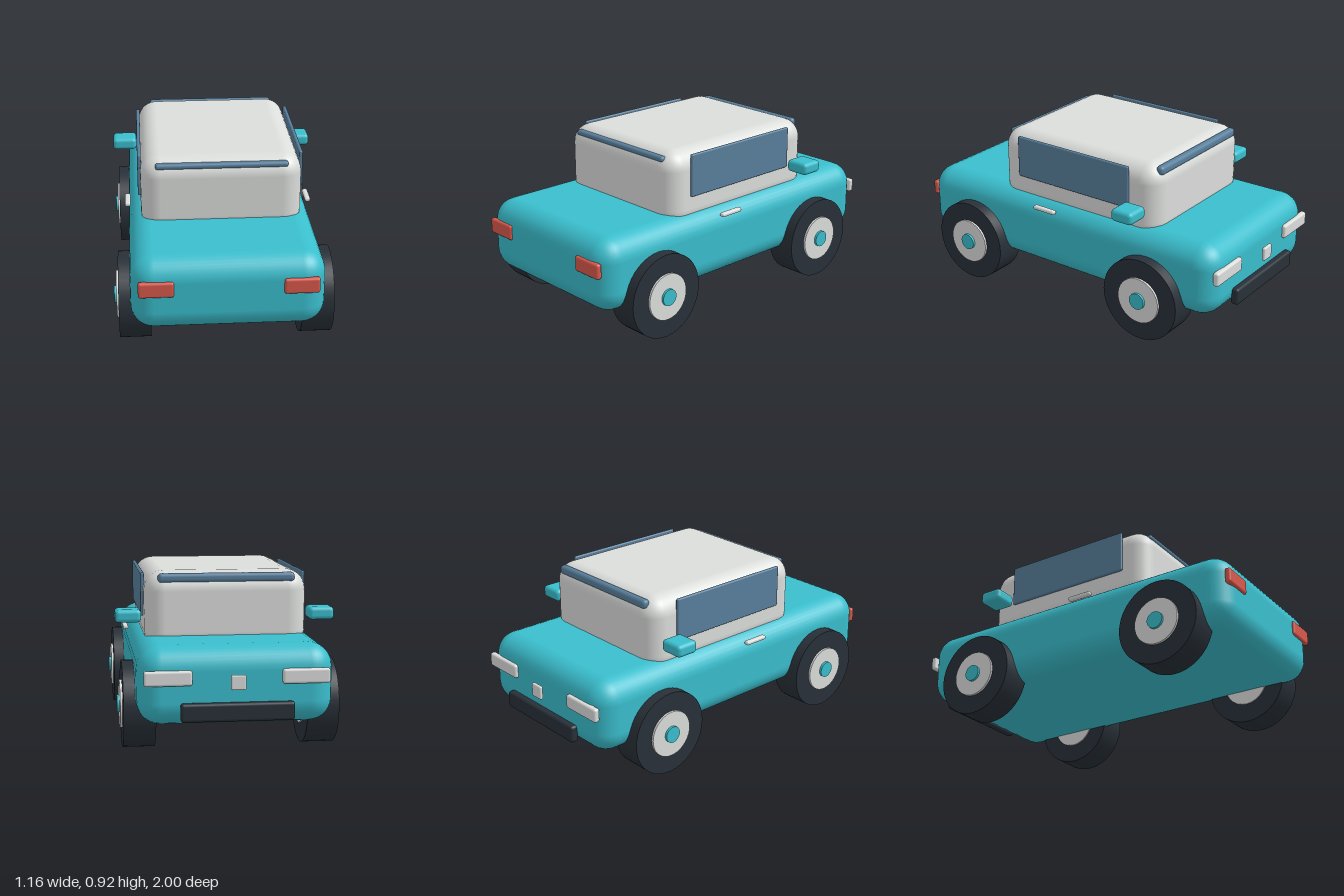
import * as THREE from 'three';
import { RoundedBoxGeometry } from 'three/addons/geometries/RoundedBoxGeometry.js';

const material = (name, color) => {
  const m = new THREE.MeshStandardMaterial({ color });
  m.name = name;
  return m;
};

export function createModel() {
  const teal = material('teal paint', 0x3abecd);
  const white = material('off white', 0xdcdedc);
  const glass = material('blue glass', 0x587f9c);
  const dark = material('dark rubber', 0x283038);
  const red = material('red lamp', 0xd9594c);

  const car = new THREE.Group();
  car.name = 'car';

  // Rounded block given by its limits on each axis
  function block(name, mat, [x0, x1], [y0, y1], [z0, z1], radius, segments = 3) {
    const geometry = new RoundedBoxGeometry(x1 - x0, y1 - y0, z1 - z0, segments, radius);
    const mesh = new THREE.Mesh(geometry, mat);
    mesh.name = name;
    mesh.position.set((x0 + x1) / 2, (y0 + y1) / 2, (z0 + z1) / 2);
    car.add(mesh);
  }

  // The same block on both sides of the car
  function pair(name, mat, [x0, x1], y, z, radius) {
    block('left' + name, mat, [x0, x1], y, z, radius);
    block('right' + name, mat, [-x1, -x0], y, z, radius);
  }

  // Body and cabin
  block('body', teal, [-0.495, 0.495], [0.18, 0.58], [-0.955, 0.985], 0.12, 4);
  block('cabin', white, [-0.428, 0.428], [0.49, 0.915], [-0.565, 0.48], 0.105, 4);

  // Windows
  pair('SideWindow', glass, [0.422, 0.442], [0.665, 0.897], [-0.4, 0.34], 0.008);
  block('frontWindowBar', glass, [-0.35, 0.35], [0.86, 0.89], [0.43, 0.472], 0.014);
  block('backWindowBar', glass, [-0.36, 0.36], [0.855, 0.905], [-0.56, -0.515], 0.02);

  // Mirrors and door handles
  pair('Mirror', teal, [0.445, 0.582], [0.645, 0.713], [-0.52, -0.39], 0.022);
  pair('DoorHandle', white, [0.485, 0.516], [0.53, 0.553], [0.04, 0.182], 0.01);

  // Lamps, badge plate and bumper
  pair('RedLamp', red, [0.275, 0.455], [0.392, 0.475], [0.965, 0.998], 0.013);
  pair('WhiteLamp', white, [0.225, 0.465], [0.392, 0.468], [-0.975, -0.94], 0.013);
  block('badgePlate', white, [-0.038, 0.038], [0.372, 0.447], [-1, -0.98], 0.008);
  block('bumper', dark, [-0.285, 0.285], [0.212, 0.305], [-0.99, -0.945], 0.015);

  // Wheels: tyre, hub running through it and a small cap
  const disc = (name, mat, radius, inner, outer) => {
    const mesh = new THREE.Mesh(new THREE.CylinderGeometry(radius, radius, outer - inner, 40), mat);
    mesh.name = name;
    mesh.rotation.z = Math.PI / 2;
    mesh.position.x = (inner + outer) / 2;
    return mesh;
  };
  for (const side of [1, -1]) {
    for (const z of [0.627, -0.557]) {
      const wheel = new THREE.Group();
      wheel.name = (side > 0 ? 'left' : 'right') + (z > 0 ? 'Front' : 'Back') + 'Wheel';
      wheel.add(
        disc('tyre', dark, 0.228, 0.39, 0.555),
        disc('hub', white, 0.126, 0.383, 0.567),
        disc('cap', teal, 0.045, 0.5, 0.58)
      );
      wheel.position.set(0, 0.228, z);
      wheel.rotation.y = side > 0 ? 0 : Math.PI;
      car.add(wheel);
    }
  }
  return car;
}
